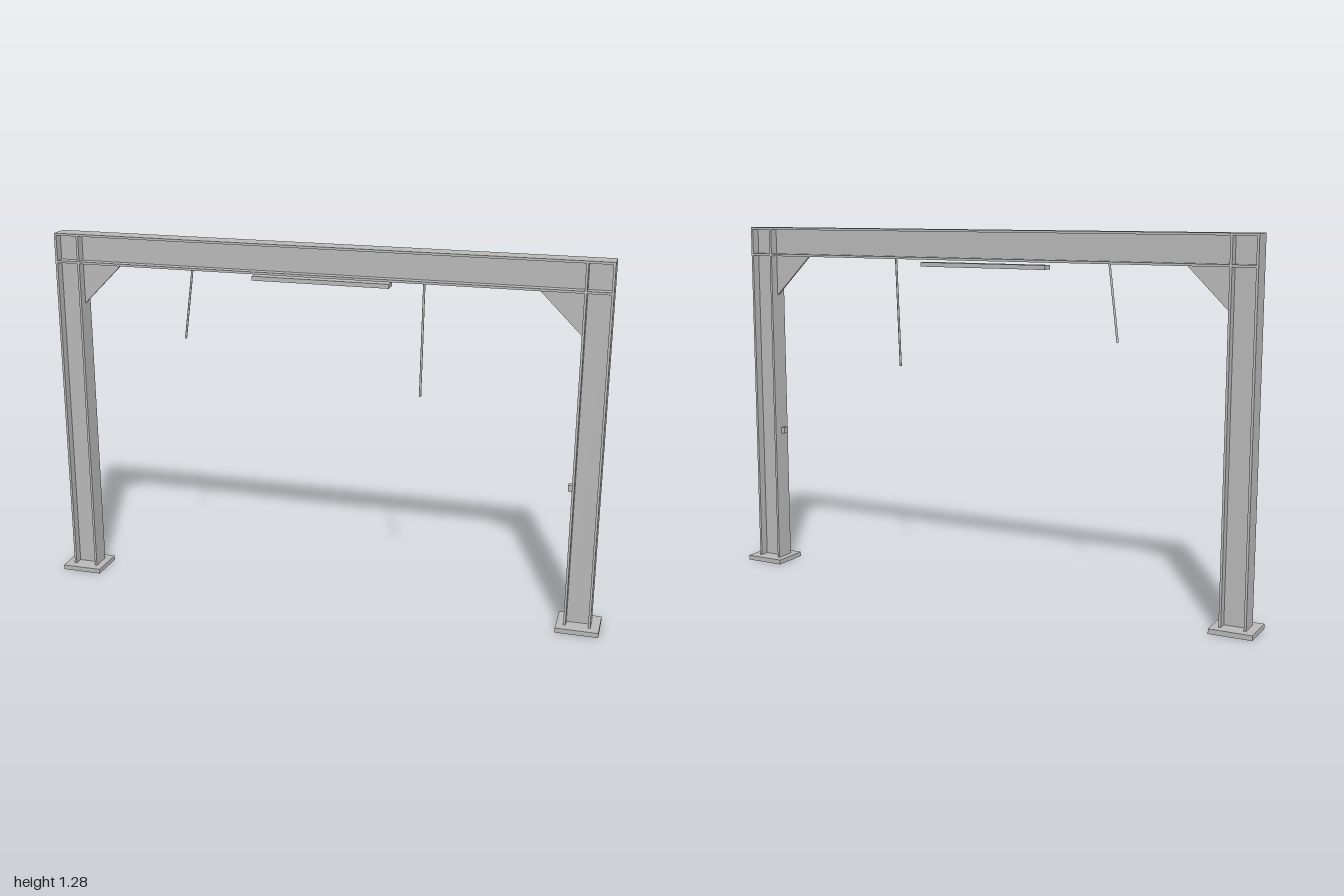
import * as THREE from 'three';

export function createModel() {
  const root = new THREE.Group();
  root.name = 'portalFrame';
  const steel = new THREE.MeshStandardMaterial({ color: 0xb8b8b8 });
  steel.name = 'grey steel';

  const add = (name, geometry, parent = root) => {
    const mesh = new THREE.Mesh(geometry, steel);
    mesh.name = name;
    parent.add(mesh);
    return mesh;
  };
  // Box given by its lower and upper limits on each axis
  const box = (name, x0, x1, y0, y1, z0, z1, parent) =>
    add(name, new THREE.BoxGeometry(x1 - x0, y1 - y0, z1 - z0), parent)
      .position.set((x0 + x1) / 2, (y0 + y1) / 2, (z0 + z1) / 2);

  const top = 1.28, under = 1.175, end = 0.97, inner = 0.878;
  const depth = 0.036, web = 0.004, flange = 0.008, plate = 0.017;

  // Crossbeam: an I-section running over both columns
  const beam = new THREE.Group();
  beam.name = 'crossbeam';
  root.add(beam);
  box('topFlange', -end, end, top - flange, top, -depth, depth, beam);
  box('bottomFlange', -end, end, under, under + flange, -depth, depth, beam);
  box('beamWeb', -end, end, under + flange, top - flange, -web, web, beam);

  // Triangular knee plate outline, for the +x side
  const kneeShape = (s) => new THREE.Shape([
    new THREE.Vector2(s * inner, under),
    new THREE.Vector2(s * 0.73, under),
    new THREE.Vector2(s * inner, 1.028),
  ]);

  // Columns, base plates and knee plates, mirrored
  for (const s of [1, -1]) {
    const column = new THREE.Group();
    column.name = s > 0 ? 'leftColumn' : 'rightColumn';
    root.add(column);
    const span = (name, a, b, ...rest) =>
      box(name, Math.min(s * a, s * b), Math.max(s * a, s * b), ...rest, column);
    span('outerFlange', end - flange, end, plate, top, -depth, depth);
    span('innerFlange', inner, inner + flange, plate, top - flange, -depth, depth);
    span('columnWeb', inner + flange, end - flange, plate, under, -web, web);
    span('basePlate', 0.853, 1, 0, plate, -0.067, 0.067);
    const knee = new THREE.ExtrudeGeometry(kneeShape(s), { depth: 2 * web, bevelEnabled: false });
    add('kneePlate', knee.translate(0, 0, -web), column);
  }

  // Light strip hanging just below the beam
  box('lightStrip', -0.24, 0.24, 1.15, 1.165, -0.022, 0.022);

  // Switch box on the inner face of the left column
  box('switchBox', 0.864, inner, 0.5, 0.522, -0.003, 0.02);

  // Hanging rods, slightly tilted
  const rod = (name, from, to) => {
    const a = new THREE.Vector3(...from), b = new THREE.Vector3(...to);
    const mesh = add(name, new THREE.CylinderGeometry(0.004, 0.004, a.distanceTo(b), 8));
    mesh.position.copy(a).add(b).multiplyScalar(0.5);
    mesh.quaternion.setFromUnitVectors(new THREE.Vector3(0, 1, 0), a.sub(b).normalize());
  };
  rod('longRod', [0.355, under, 0], [0.355, 0.787, 0.024]);
  rod('shortRod', [-0.464, under, 0], [-0.505, 0.92, -0.02]);

  return root;
}
